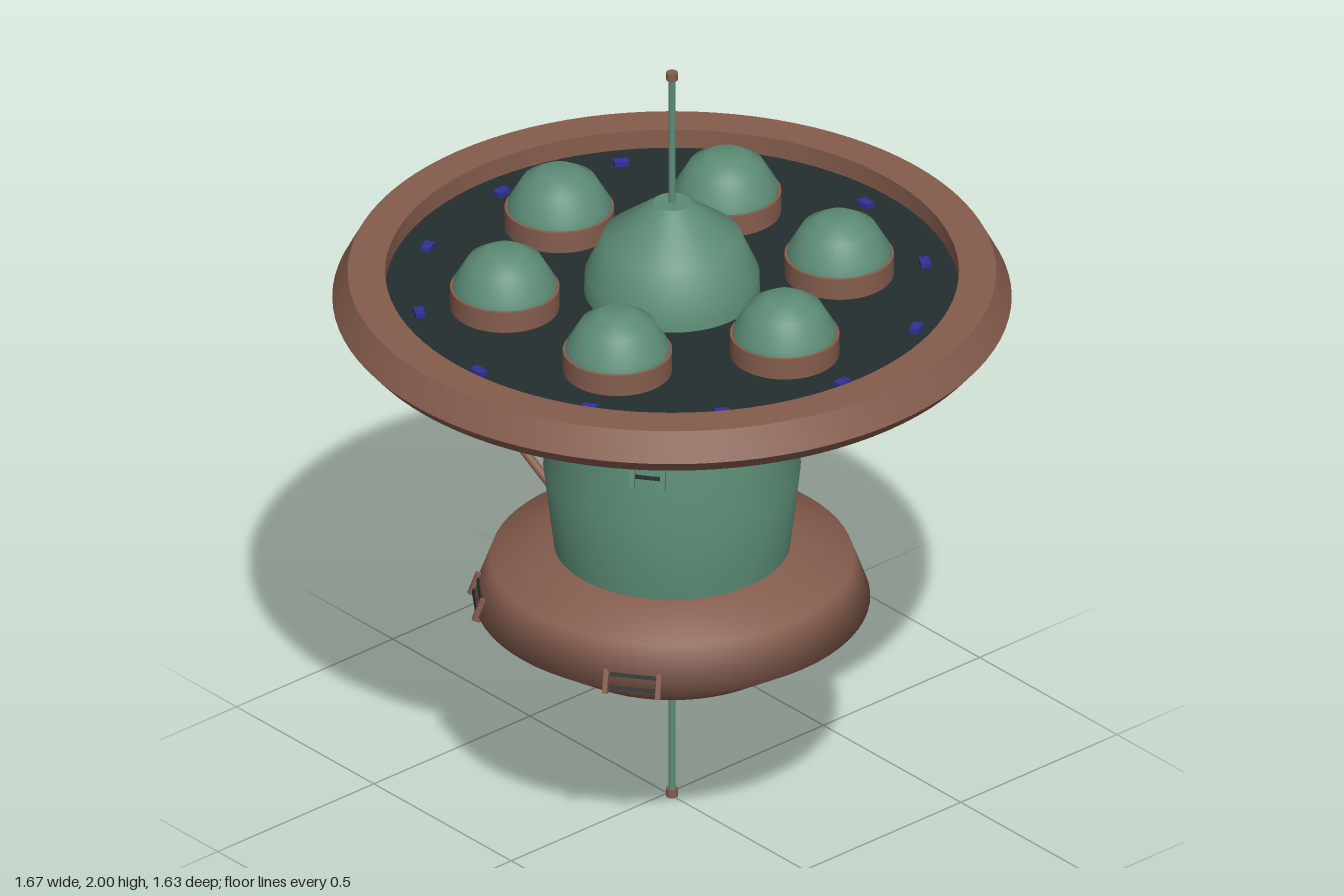
import * as THREE from 'three';
import { toCreasedNormals } from 'three/addons/utils/BufferGeometryUtils.js';

const paint = (name, color, side = THREE.FrontSide) => {
  const m = new THREE.MeshStandardMaterial({ color, side });
  m.name = name;
  return m;
};

export function createModel() {
  const green = paint('hull green', 0x5c8c76);
  const brown = paint('trim brown', 0x855d4d, THREE.DoubleSide);
  const dark = paint('deck dark', 0x232e2e);
  const blue = paint('light blue', 0x2f3198);

  const root = new THREE.Group();
  root.name = 'spaceStation';
  const station = new THREE.Group();
  station.name = 'station';
  station.position.x = 0.017;
  root.add(station);

  const add = (name, geometry, material, parent = station) => {
    const mesh = new THREE.Mesh(geometry, material);
    mesh.name = name;
    parent.add(mesh);
    return mesh;
  };
  // Profiles run from bottom to top as [radius, height]
  const lathe = (pts, segments = 64) =>
    new THREE.LatheGeometry(pts.map(([r, y]) => new THREE.Vector2(r, y)), segments);
  const rod = (name, r, y0, y1, material) => {
    const m = add(name, new THREE.CylinderGeometry(r, r, y1 - y0, 16), material);
    m.position.y = (y0 + y1) / 2;
  };

  // Antennas with small end caps
  rod('topAntenna', 0.009, 1.62, 1.985, green);
  rod('topAntennaCap', 0.014, 1.98, 2, brown);
  rod('bottomAntenna', 0.009, 0.015, 0.38, green);
  rod('bottomAntennaCap', 0.014, 0, 0.022, brown);

  // Lower hull
  add('keel', toCreasedNormals(lathe([[0, 0.357], [0.062, 0.357], [0.135, 0.41]]), 0.5), green);
  add('lowerHull', lathe([[0.12, 0.4], [0.135, 0.402], [0.31, 0.44], [0.477, 0.553],
    [0.437, 0.663], [0.285, 0.703]]), brown);

  // Tower
  add('tower', lathe([[0.283, 0.69], [0.31, 0.92], [0.25, 1.2], [0.205, 1.36]]), green);

  // Upper disc: rim around a recessed deck
  add('discRim', toCreasedNormals(lathe([[0.69, 1.345], [0.787, 1.345], [0.817, 1.38],
    [0.78, 1.45], [0.69, 1.45], [0.69, 1.39]], 96), 0.6), brown);
  add('deck', new THREE.CylinderGeometry(0.705, 0.705, 0.065, 96), dark).position.y = 1.3675;

  // Central dome
  add('centralDome', lathe([[0.212, 1.39], [0.21, 1.45], [0.167, 1.547], [0.045, 1.642]]), green);
  add('centralDomeTop', new THREE.CircleGeometry(0.045, 32).rotateX(-Math.PI / 2), green)
    .position.y = 1.642;

  // Ring of six small domes on collars
  const collarGeo = new THREE.CylinderGeometry(0.132, 0.132, 0.058, 40);
  const domeGeo = lathe([[0.126, 1.44], [0.123, 1.47], [0.09, 1.527], [0.045, 1.555], [0, 1.555]], 40);
  for (let i = 0; i < 6; i++) {
    const a = i * Math.PI / 3;
    const pod = new THREE.Group();
    pod.name = 'pod';
    pod.position.set(0.41 * Math.cos(a), 0, 0.41 * Math.sin(a));
    station.add(pod);
    add('podCollar', collarGeo, brown, pod).position.y = 1.426;
    add('podDome', domeGeo, green, pod);
  }

  // Twelve deck lights
  const lightGeo = new THREE.BoxGeometry(0.036, 0.012, 0.024);
  for (let i = 0; i < 12; i++) {
    const a = i * Math.PI / 6;
    const light = add('deckLight', lightGeo, blue);
    light.position.set(0.62 * Math.sin(a), 1.406, 0.62 * Math.cos(a));
    light.rotation.y = a;
  }

  // Hatches: slim frame posts with dark slots, mirrored on the front
  const hatch = (side, r, y, tilt, w, h, material, slots) => {
    const g = new THREE.Group();
    g.name = 'hatch';
    const a = side * 0.645;
    g.position.set(r * Math.sin(a), y, r * Math.cos(a));
    g.rotation.set(-tilt, a, 0, 'YXZ');
    station.add(g);
    for (const s of [-1, 1])
      add('hatchPost', new THREE.BoxGeometry(0.012, h, 0.02), material, g).position.x = s * w / 2;
    for (const s of slots)
      add('hatchSlot', new THREE.BoxGeometry(w * 0.85, 0.009, 0.009), dark, g).position.y = s;
  };
  for (const side of [-1, 1]) {
    hatch(side, 0.282, 1.05, 0.21, 0.075, 0.085, green, [-0.013, 0.015]);
    hatch(side, 0.468, 0.57, 0.35, 0.13, 0.06, brown, [-0.014, 0.018]);
  }

  // Dish on a slanted boom
  const from = new THREE.Vector3(-0.36, 0.625, 0);
  const to = new THREE.Vector3(-0.79, 0.866, 0);
  add('dishBoom', new THREE.TubeGeometry(new THREE.LineCurve3(from, to), 1, 0.011, 12), brown);
  const dish = new THREE.Group();
  dish.name = 'dish';
  dish.position.set(-0.784, 0.862, 0);
  dish.rotation.z = Math.PI / 2;
  station.add(dish);
  add('dishBowl', lathe([[0, 0], [0.05, 0.005], [0.1, 0.021], [0.145, 0.047]], 48), brown, dish);
  add('dishFeed', new THREE.CylinderGeometry(0.006, 0.006, 0.075, 10), green, dish).position.y = 0.035;

  return root;
}
